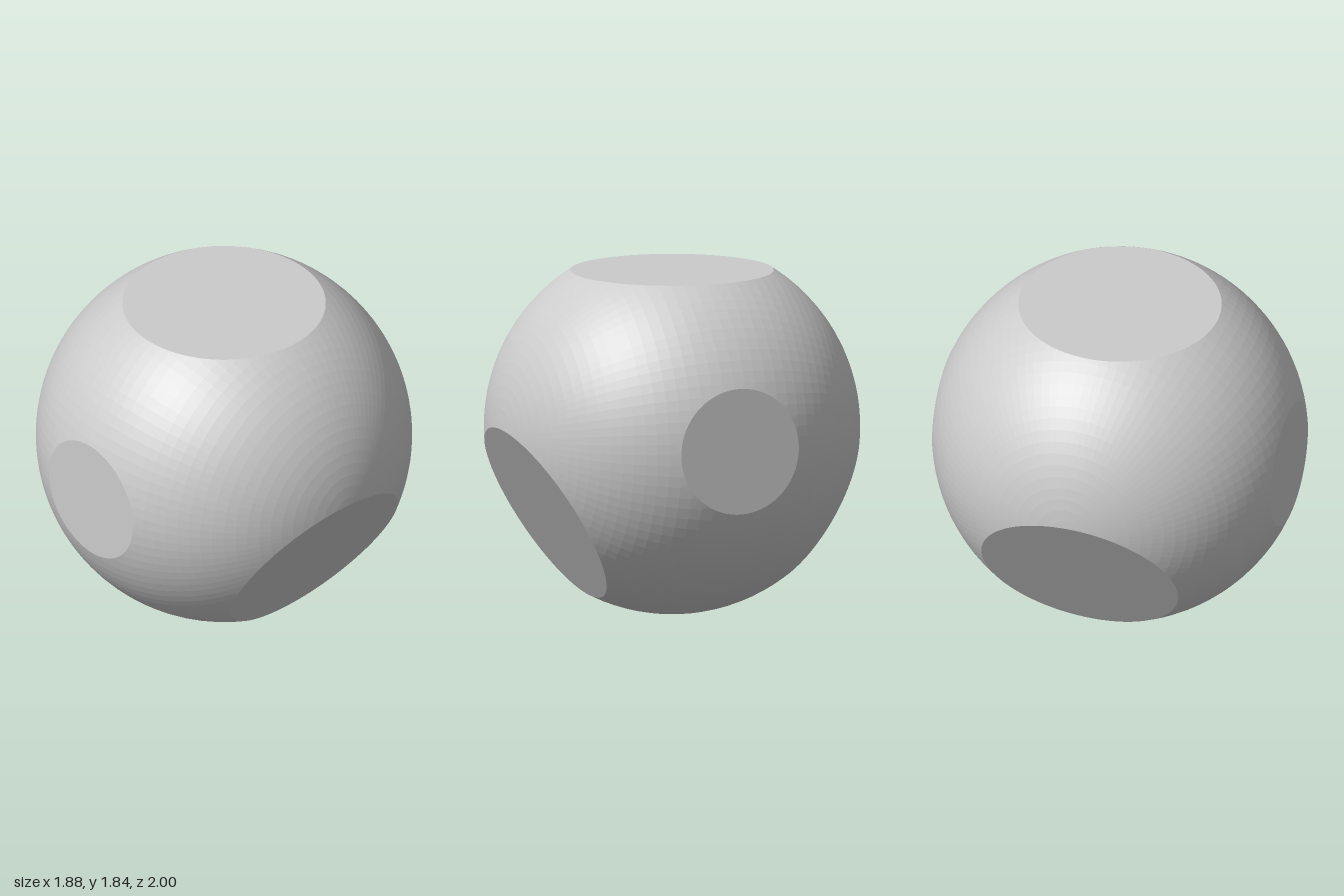
import * as THREE from 'three';
import { ConvexGeometry } from 'three/addons/geometries/ConvexGeometry.js';

const R = 1.001, SEGMENTS = 100, RINGS = 50;

// Flat cuts: unit normal and distance from the ball's centre
const s = Math.sqrt(3) / 2;
const CUTS = [
  [new THREE.Vector3(0, 1, 0), 0.842],
  [new THREE.Vector3(0, -0.5, s), 0.842],
  [new THREE.Vector3(0, -0.5, -s), 0.842],
  [new THREE.Vector3(1, 0, 0), 0.942],
  [new THREE.Vector3(-1, 0, 0), 0.942],
];

// Circle where a cutting plane meets the ball
function rimPoints([normal, dist]) {
  const r = Math.sqrt(R * R - dist * dist);
  const turn = new THREE.Quaternion().setFromUnitVectors(new THREE.Vector3(0, 0, 1), normal);
  return Array.from({ length: SEGMENTS }, (_, i) => {
    const a = (i / SEGMENTS) * Math.PI * 2;
    return new THREE.Vector3(r * Math.cos(a), r * Math.sin(a), dist).applyQuaternion(turn);
  });
}

// Ball points with the poles along z, leaving out those beyond a cut
function ballPoints() {
  const points = [];
  for (let j = 0; j < RINGS; j++) {
    const polar = ((j + 0.5) / RINGS) * Math.PI;
    for (let i = 0; i < SEGMENTS; i++) {
      const a = (i / SEGMENTS) * Math.PI * 2;
      const p = new THREE.Vector3(
        Math.sin(polar) * Math.cos(a), Math.sin(polar) * Math.sin(a), Math.cos(polar)
      ).multiplyScalar(R);
      if (CUTS.every(([n, d]) => p.dot(n) < d - 0.004)) points.push(p);
    }
  }
  return points;
}

export function createModel() {
  const group = new THREE.Group();
  group.name = 'cutBall';

  // The hull of the remaining ball and the rims closes each cut with a flat disc
  const geometry = new ConvexGeometry([...ballPoints(), ...CUTS.flatMap(rimPoints)]);
  const ball = new THREE.Mesh(
    geometry,
    new THREE.MeshStandardMaterial({ color: 0xcccccc, flatShading: true })
  );
  ball.name = 'ballWithFlatFaces';
  ball.position.y = 1;
  group.add(ball);
  return group;
}
